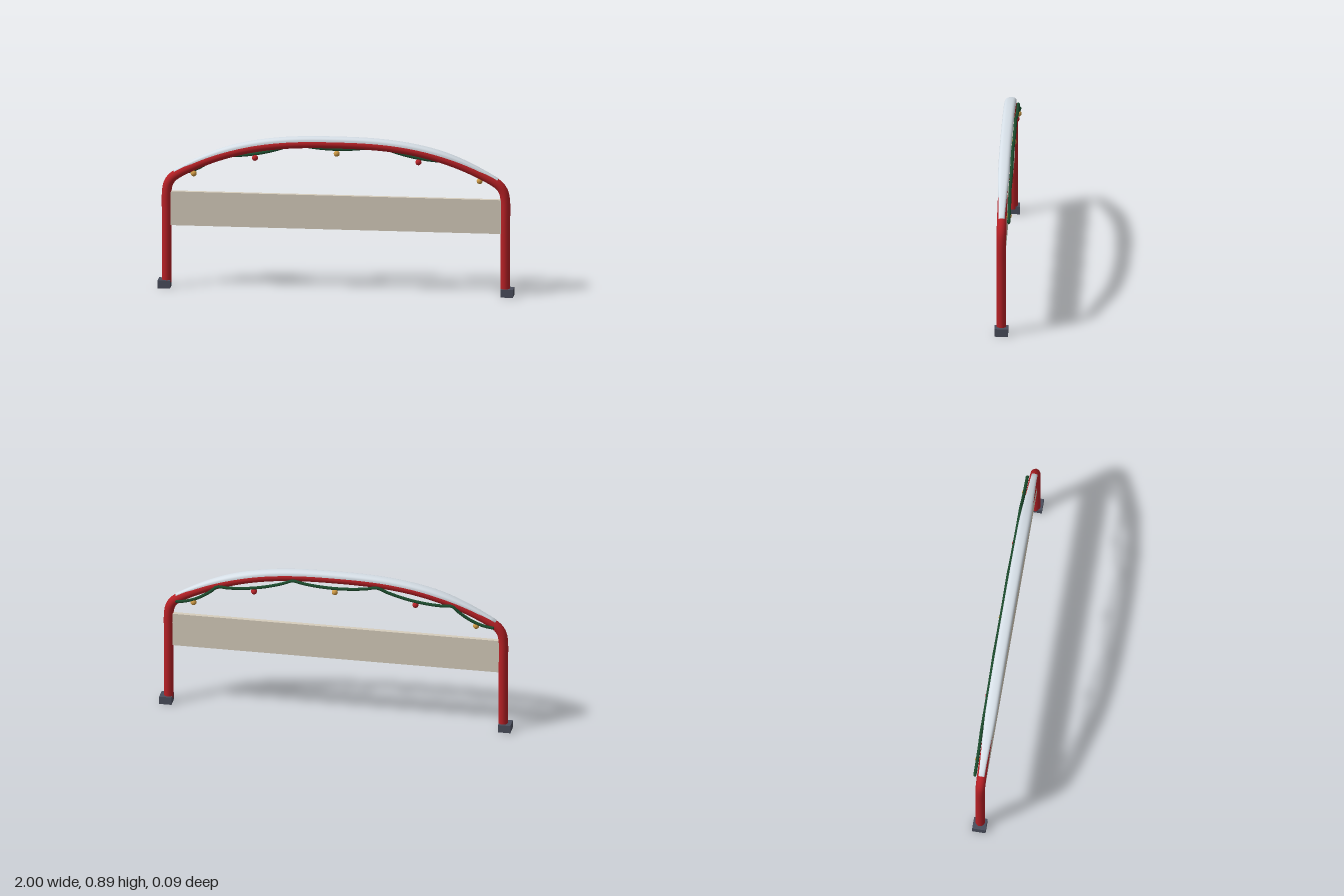
import * as THREE from 'three';

const Z = 0.007; // plane of the frame

const mat = (name, color, side = THREE.FrontSide) => {
  const m = new THREE.MeshStandardMaterial({ color, side });
  m.name = name;
  return m;
};

// Height of the arch centreline at a given x
const archY = (x) => 0.853 - 0.2 * Math.pow(Math.abs(x) / 0.9, 2.6);

// Crescent cap swept along the arch: rounded top, flat underside, narrowing to the ends
function capGeometry(steps = 64, around = 12) {
  const pos = [], idx = [], end = 0.9;
  const ring = around + 1;
  const addStrip = (section) => {
    const start = pos.length / 3;
    const n = section(0).length;
    for (let i = 0; i <= steps; i++) {
      const x = -end + (2 * end * i) / steps;
      const slope = (archY(x + 0.002) - archY(x - 0.002)) / 0.004;
      const len = Math.hypot(1, slope);
      for (const [w, h] of section(x)) {
        pos.push(x - (slope / len) * h, archY(x) + h / len, Z + w);
      }
    }
    for (let i = 0; i < steps; i++) {
      for (let j = 0; j < n - 1; j++) {
        const a = start + i * n + j, b = a + n;
        idx.push(a, b, a + 1, b, b + 1, a + 1);
      }
    }
    return start;
  };
  const size = (x) => {
    const t = THREE.MathUtils.smoothstep(end - Math.abs(x), -0.04, 0.36);
    return [0.017 + 0.016 * t, 0.012 + 0.012 * t];
  };
  const top = addStrip((x) => {
    const [w, h] = size(x);
    return Array.from({ length: ring }, (_, j) => {
      const a = (Math.PI * j) / around;
      const c = Math.cos(a);
      return [w * Math.sign(c) * Math.pow(Math.abs(c), 0.75), 0.016 + h * Math.pow(Math.max(Math.sin(a), 0), 0.75)];
    });
  });
  addStrip((x) => [[-size(x)[0], 0.016], [size(x)[0], 0.016]]);
  // end faces
  for (let j = 1; j < around; j++) {
    const e = top + steps * ring;
    idx.push(top, top + j, top + j + 1, e, e + j + 1, e + j);
  }
  const g = new THREE.BufferGeometry();
  g.setAttribute('position', new THREE.Float32BufferAttribute(pos, 3));
  g.setIndex(idx);
  g.computeVertexNormals();
  return g;
}

export function createModel() {
  const model = new THREE.Group();
  const red = mat('frame red', 0xb52025);
  const snow = mat('snow white', 0xdde6ee, THREE.DoubleSide);
  const cloth = mat('panel beige', 0xd6cdbc);
  const slate = mat('foot slate', 0x4a4e5c);
  const green = mat('garland green', 0x1b4a2c);
  const gold = mat('bauble gold', 0xcf9a45);
  const berry = mat('bauble red', 0xb8242a);

  const add = (name, geometry, material, x = 0, y = 0, z = 0) => {
    const m = new THREE.Mesh(geometry, material);
    m.name = name;
    m.position.set(x, y, z);
    model.add(m);
    return m;
  };

  // Bent tube frame: two legs, tight shoulders and a shallow arch
  const half = [[0.953, 0.03], [0.953, 0.2], [0.953, 0.4], [0.953, 0.55], [0.945, 0.597], [0.924, 0.632]];
  const arch = [];
  for (let i = 0; i <= 16; i++) {
    const x = -0.88 + 0.11 * i;
    arch.push([x, archY(x)]);
  }
  const path = [...half.map(([x, y]) => [-x, y]), ...arch, ...half.slice().reverse()];
  const curve = new THREE.CatmullRomCurve3(path.map(([x, y]) => new THREE.Vector3(x, y, Z)));
  add('frame', new THREE.TubeGeometry(curve, 160, 0.027, 16), red);

  // Feet
  for (const s of [-1, 1]) {
    add(s > 0 ? 'leftFoot' : 'rightFoot', new THREE.BoxGeometry(0.07, 0.045, 0.076), slate, s * 0.965, 0.0225, Z);
  }

  // Panel between the legs
  add('panel', new THREE.BoxGeometry(1.87, 0.195, 0.024), cloth, 0, 0.458, Z);

  // Snow cap on the arch
  add('snowCap', capGeometry(), snow);

  // Garland hung behind the arch in five swags
  const hooks = [[-0.9, 0.648], [-0.67, 0.76], [-0.24, 0.836], [0.24, 0.836], [0.67, 0.76], [0.9, 0.648]];
  const points = [];
  for (let k = 0; k < hooks.length - 1; k++) {
    const [x0, y0] = hooks[k], [x1, y1] = hooks[k + 1];
    for (let i = k ? 1 : 0; i <= 8; i++) {
      const t = i / 8;
      points.push(new THREE.Vector3(x0 + (x1 - x0) * t, y0 + (y1 - y0) * t - 0.1 * t * (1 - t), -0.032));
    }
  }
  add('garland', new THREE.TubeGeometry(new THREE.CatmullRomCurve3(points), 120, 0.009, 8), green);
  for (const i of [0, hooks.length - 1]) {
    add('garlandTip', new THREE.SphereGeometry(0.009, 8, 6), green, hooks[i][0], hooks[i][1], -0.032);
  }

  // Baubles under each swag
  const baubles = [[-0.805, 0.651, gold], [-0.46, 0.75, berry], [0, 0.787, gold], [0.46, 0.75, berry], [0.805, 0.651, gold]];
  for (const [x, y, m] of baubles) add('bauble', new THREE.SphereGeometry(0.017, 16, 12), m, x, y, -0.029);

  return model;
}
